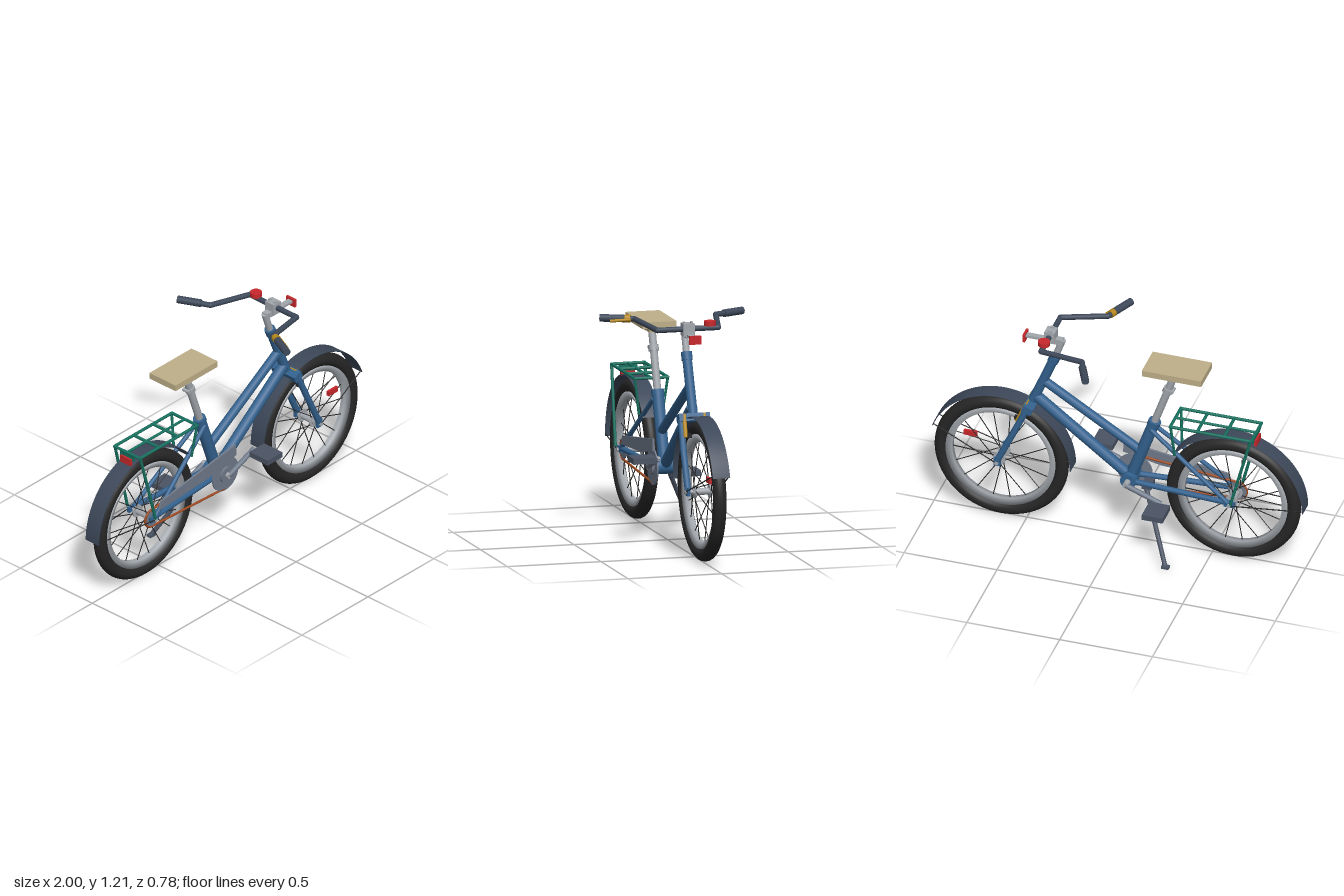
import * as THREE from 'three';

const paint = (color) => new THREE.MeshStandardMaterial({ color, side: THREE.DoubleSide });
const V = (x, y, z) => new THREE.Vector3(x, y, z);

export function createModel() {
  const root = new THREE.Group();
  const blue = paint(0x33628f), slate = paint(0x4b5464), dark = paint(0x3d4859), black = paint(0x262626);
  const grey = paint(0xa3a8ae), guardGrey = paint(0x707a8a), tan = paint(0xbfb08a), teal = paint(0x16705f);
  const gold = paint(0xb98a1c), red = paint(0xc8282c), rust = paint(0xa04a20);

  const add = (name, geo, mat, parent = root) => {
    const m = new THREE.Mesh(geo, mat);
    m.name = name;
    parent.add(m);
    return m;
  };
  // Round bar between two points
  const bar = (name, a, b, r, mat, parent = root, r2 = r, sides = 14) => {
    const d = b.clone().sub(a);
    const m = add(name, new THREE.CylinderGeometry(r2, r, d.length(), sides), mat, parent);
    m.position.copy(a).add(b).multiplyScalar(0.5);
    m.quaternion.setFromUnitVectors(V(0, 1, 0), d.normalize());
    return m;
  };
  const box = (name, w, h, d, x, y, z, mat, parent = root) => {
    const m = add(name, new THREE.BoxGeometry(w, h, d), mat, parent);
    m.position.set(x, y, z);
    return m;
  };
  // Disc or drum with its axis along z
  const disc = (name, r, x, y, z0, z1, mat, parent = root) =>
    bar(name, V(x, y, z0), V(x, y, z1), r, mat, parent, r, 32);
  const path = (name, pts, r, mat) => {
    const c = new THREE.CurvePath();
    for (let i = 1; i < pts.length; i++) bar(name, pts[i - 1], pts[i], r, mat);
    for (const p of pts.slice(1, -1)) add(name + 'Joint', new THREE.SphereGeometry(r, 14, 10), mat).position.copy(p);
    return c;
  };
  // Ring or arc swept around the z axis
  const ring = (name, profile, mat, parent, from = 0, sweep = Math.PI * 2) => {
    const pts = profile.map(([r, z]) => new THREE.Vector2(r, z));
    const g = new THREE.LatheGeometry(pts, 72, from + Math.PI / 2, sweep).rotateX(Math.PI / 2);
    return add(name, g, mat, parent);
  };

  const axleY = 0.365, rearX = -0.615, frontX = 0.636;

  // Wheels: tyre, rim, hub and spokes
  function wheel(name, x) {
    const w = new THREE.Group();
    w.name = name;
    w.position.set(x, axleY, 0);
    root.add(w);
    add('tyre', new THREE.TorusGeometry(0.325, 0.035, 20, 72), black, w);
    ring('rim', [[0.262, -0.014], [0.295, -0.026], [0.295, 0.026], [0.262, 0.014], [0.262, -0.014]], grey, w);
    disc('hub', 0.018, 0, 0, -0.05, 0.05, grey, w);
    disc('axle', 0.01, 0, 0, -0.095, 0.095, grey, w);
    for (const s of [-1, 1]) disc('hubFlange', 0.034, 0, 0, s * 0.036, s * 0.044, grey, w);
    const n = 18;
    for (let i = 0; i < n; i++) {
      const a = (i / n) * Math.PI * 2, h = a + (i % 4 < 2 ? 0.5 : -0.5);
      bar('spoke', V(0.032 * Math.cos(h), 0.032 * Math.sin(h), i % 2 ? 0.04 : -0.04),
        V(0.266 * Math.cos(a), 0.266 * Math.sin(a), 0), 0.0025, black, w, 0.0025, 6);
    }
    return w;
  }
  wheel('rearWheel', rearX);
  box('wheelReflector', 0.07, 0.028, 0.015, 0.172, 0.088, 0.012, red, wheel('frontWheel', frontX));

  // Mudguards with wire stays
  function mudguard(name, x, fromDeg, toDeg, stayDeg) {
    const g = new THREE.Group(), rad = Math.PI / 180;
    g.name = name;
    g.position.set(x, axleY, 0);
    root.add(g);
    ring('mudguardStrip', [[0.381, -0.046], [0.385, -0.046], [0.385, 0.046], [0.381, 0.046], [0.381, -0.046]],
      dark, g, fromDeg * rad, (toDeg - fromDeg) * rad);
    for (const s of [-1, 1])
      bar('mudguardStay', V(0, 0, s * 0.09), V(0.383 * Math.cos(stayDeg * rad), 0.383 * Math.sin(stayDeg * rad), s * 0.044),
        0.003, black, g, 0.003, 6);
  }
  mudguard('rearMudguard', rearX, 35, 180, 178);
  mudguard('frontMudguard', frontX, 20, 180, 22);

  // Frame
  const bb = V(-0.06, 0.375, 0);
  disc('bottomBracket', 0.042, bb.x, bb.y, -0.055, 0.055, blue);
  bar('seatTube', bb, V(-0.187, 0.74, 0), 0.031, blue);
  bar('topTube', V(-0.115, 0.545, 0), V(0.405, 0.87, 0), 0.024, blue);
  bar('downTube', bb, V(0.45, 0.77, 0), 0.029, blue);
  bar('headTube', V(0.47, 0.73, 0), V(0.345, 1.04, 0), 0.025, blue);
  bar('headCollar', V(0.361, 1.0, 0), V(0.345, 1.04, 0), 0.029, blue);
  for (const s of [-1, 1]) {
    bar('chainStay', V(-0.05, 0.372, s * 0.035), V(rearX, 0.372, s * 0.072), 0.015, blue);
    bar('seatStay', V(-0.175, 0.705, s * 0.025), V(rearX + 0.01, 0.372, s * 0.075), 0.012, blue);
    box('dropout', 0.06, 0.03, 0.016, rearX, 0.367, s * 0.076, blue);
    // Fork legs and rim brakes
    path('forkLeg', [V(0.482, 0.715, s * 0.068), V(0.55, 0.56, s * 0.074), V(frontX, 0.375, s * 0.076)], 0.017, blue);
    box('forkEnd', 0.035, 0.045, 0.016, frontX, 0.368, s * 0.076, blue);
    bar('brakeArm', V(0.485, 0.745, s * 0.053), V(0.535, 0.63, s * 0.058), 0.011, gold);
    box('brakePad', 0.045, 0.02, 0.02, 0.53, 0.64, s * 0.04, black);
  }
  bar('brakeLink', V(0.487, 0.74, -0.06), V(0.487, 0.74, 0.06), 0.007, gold);
  const crown = box('forkCrown', 0.055, 0.04, 0.165, 0.475, 0.72, 0, blue);
  crown.rotation.z = 0.38;

  // Saddle and seat post
  bar('seatPost', V(-0.18, 0.72, 0), V(-0.292, 1.045, 0), 0.02, grey);
  bar('seatClamp', V(-0.255, 0.94, 0), V(-0.265, 0.968, 0), 0.027, grey);
  bar('clampBolt', V(-0.285, 0.955, -0.022), V(-0.285, 0.955, 0.022), 0.01, grey);
  bar('seatTubeCollar', V(-0.18, 0.72, 0), V(-0.19, 0.748, 0), 0.034, blue);
  box('saddle', 0.32, 0.034, 0.182, -0.308, 1.092, 0, tan);
  box('saddleBase', 0.174, 0.037, 0.062, -0.314, 1.058, 0, tan);

  // Stem, clamp and front reflector
  bar('stem', V(0.352, 1.02, 0), V(0.308, 1.145, 0), 0.018, grey);
  box('stemArm', 0.1, 0.03, 0.036, 0.355, 1.135, 0, grey);
  box('barClamp', 0.055, 0.065, 0.06, 0.37, 1.162, 0, grey);
  for (const s of [-1, 1]) box('clampBolt', 0.02, 0.016, 0.012, 0.37, 1.194, s * 0.02, grey);
  box('reflectorArm', 0.13, 0.014, 0.03, 0.44, 1.135, 0, grey);
  box('frontReflector', 0.012, 0.045, 0.062, 0.508, 1.13, 0, red);

  // Handlebar, grips, lever and bell
  path('handlebar', [V(0.09, 1.187, -0.32), V(0.133, 1.187, -0.218), V(0.372, 1.165, -0.162),
    V(0.372, 1.165, 0.162), V(0.133, 1.187, 0.218), V(0.09, 1.187, 0.32)], 0.0145, dark);
  for (const s of [-1, 1]) bar('grip', V(0.115, 1.187, s * 0.265), V(0.062, 1.187, s * 0.38), 0.02, dark);
  bar('brakeLever', V(0.148, 1.185, 0.24), V(0.108, 1.176, 0.338), 0.008, gold);
  bar('leverClamp', V(0.128, 1.187, 0.236), V(0.117, 1.187, 0.262), 0.021, gold);
  bar('bell', V(0.37, 1.177, -0.118), V(0.37, 1.201, -0.118), 0.031, red, root, 0.031, 24);

  // Chainset, cranks and pedals
  disc('chainring', 0.096, bb.x, bb.y, 0.058, 0.066, guardGrey);
  disc('chainringHub', 0.045, bb.x, bb.y, 0.064, 0.078, guardGrey);
  disc('crankAxle', 0.016, bb.x, bb.y, -0.095, 0.095, grey);
  disc('rearSprocket', 0.05, rearX, axleY, 0.054, 0.064, guardGrey);
  for (const s of [-1, 1]) {
    const px = bb.x + s * 0.19, py = bb.y + s * 0.075;
    bar('crankArm', V(bb.x, bb.y, s * 0.088), V(px, py, s * 0.088), 0.014, guardGrey);
    disc('pedalAxle', 0.008, px, py, s * 0.08, s * 0.12, grey);
    box('pedal', 0.112, 0.03, 0.128, px, py, s * 0.171, slate);
  }
  // Chain loop and guard
  bar('chainLower', V(rearX, 0.314, 0.061), V(-0.065, 0.288, 0.061), 0.006, rust);
  bar('chainUpper', V(rearX, 0.415, 0.061), V(-0.07, 0.47, 0.061), 0.006, rust);
  const arc = add('chainRearLoop', new THREE.TorusGeometry(0.05, 0.006, 8, 24, Math.PI).rotateZ(Math.PI / 2), rust);
  arc.position.set(rearX, axleY, 0.061);
  const guard = new THREE.Shape([[-0.58, 0.4], [-0.56, 0.448], [-0.0, 0.53], [0.006, 0.468], [-0.2, 0.425]]
    .map(([x, y]) => new THREE.Vector2(x, y)));
  add('chainGuard', new THREE.ExtrudeGeometry(guard, { depth: 0.012, bevelEnabled: false }), guardGrey).position.z = 0.07;

  // Side stand
  box('standMount', 0.05, 0.03, 0.07, -0.16, 0.362, -0.02, slate);
  bar('standLeg', V(-0.155, 0.355, -0.04), V(-0.313, 0.012, -0.215), 0.012, slate);
  box('standFoot', 0.04, 0.012, 0.03, -0.316, 0.006, -0.217, slate);

  // Rear carrier
  const rackY = 0.79;
  for (const s of [-1, 1]) {
    bar('carrierRail', V(-0.735, rackY, s * 0.088), V(-0.3, rackY, s * 0.088), 0.008, teal);
    bar('carrierRearLeg', V(-0.732, rackY, s * 0.088), V(-0.627, 0.38, s * 0.098), 0.008, teal);
    bar('carrierFrontLeg', V(-0.302, rackY, s * 0.088), V(-0.315, 0.6, s * 0.062), 0.007, teal);
  }
  for (const x of [-0.735, -0.59, -0.445, -0.3])
    bar('carrierCrossbar', V(x, rackY, -0.092), V(x, rackY, 0.092), 0.008, teal);
  bar('carrierCentreRail', V(-0.735, rackY, 0), V(-0.3, rackY, 0), 0.007, teal);
  box('carrierPlate', 0.01, 0.03, 0.096, -0.733, 0.767, 0, teal);
  box('rearReflector', 0.012, 0.04, 0.075, -0.742, 0.745, 0, red);

  return root;
}
